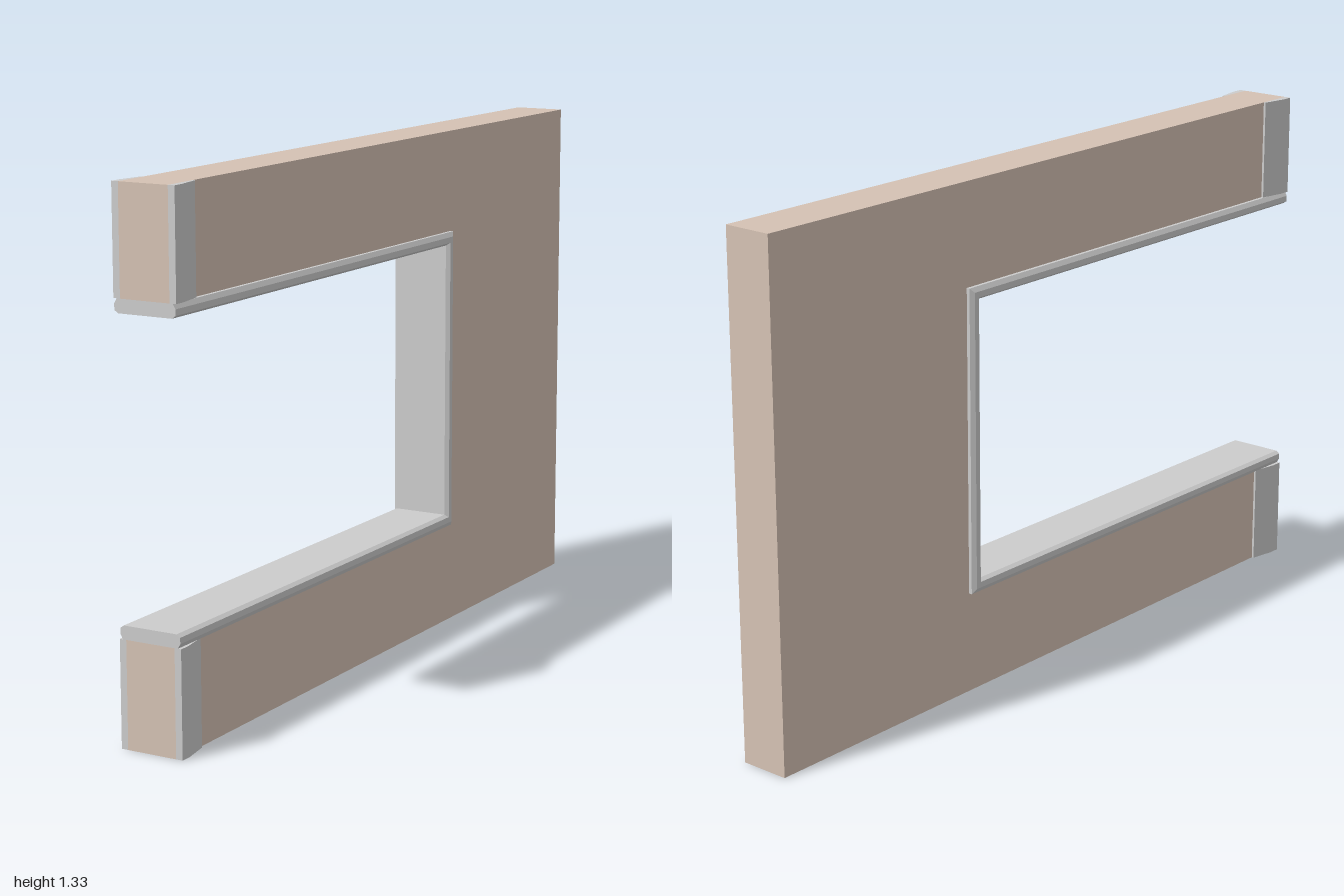
import * as THREE from 'three';

const H = 1.333, LOW = 0.267, HIGH = 1.067, BACK = -0.333, HALF = 0.067;

function polygon(points) {
  return new THREE.Shape(points.map(([a, b]) => new THREE.Vector2(a, b)));
}

// Closed trim profile [inward offset, x] swept round the opening with mitred corners
function trimGeometry(profile) {
  const stations = (d) => [
    [1, LOW + d], [BACK + d, LOW + d], [BACK + d, HIGH - d], [1, HIGH - d],
  ];
  const at = ([d, x], s) => {
    const [z, y] = stations(d)[s];
    return [x, y, z];
  };
  const pos = [];
  const n = profile.length;
  for (let s = 0; s < 3; s++) {
    for (let i = 0; i < n; i++) {
      const p = profile[i], q = profile[(i + 1) % n];
      const a = at(p, s), b = at(q, s), c = at(q, s + 1), d = at(p, s + 1);
      pos.push(...a, ...b, ...c, ...a, ...c, ...d);
    }
  }
  // End caps facing +z
  for (let i = 1; i < n - 1; i++) {
    const tri = [profile[0], profile[i], profile[i + 1]];
    pos.push(...tri.slice().reverse().flatMap((p) => at(p, 0)));
    pos.push(...tri.flatMap((p) => at(p, 3)));
  }
  const g = new THREE.BufferGeometry();
  g.setAttribute('position', new THREE.Float32BufferAttribute(pos, 3));
  g.computeVertexNormals();
  return g;
}

export function createModel() {
  const group = new THREE.Group();
  const plaster = new THREE.MeshStandardMaterial({ color: 0xd4c1b3 });
  const grey = new THREE.MeshStandardMaterial({ color: 0xcccccc, side: THREE.DoubleSide });
  const add = (name, geometry, material) => {
    const mesh = new THREE.Mesh(geometry, material);
    mesh.name = name;
    group.add(mesh);
    return mesh;
  };

  // C-shaped wall, drawn in (-z, y) and extruded across x
  const wall = new THREE.ExtrudeGeometry(polygon([
    [-1, 0], [1, 0], [1, H], [-1, H], [-1, HIGH], [-BACK, HIGH], [-BACK, LOW], [-1, LOW],
  ]), { depth: 2 * HALF, bevelEnabled: false });
  wall.translate(0, 0, -HALF).rotateY(Math.PI / 2);
  add('wall', wall, plaster);

  // Trim lining the opening
  const side = [[0, 0.076], [0.012, 0.083], [0.027, 0.083], [0.034, 0.073]];
  const mirrored = side.map(([d, x]) => [d, -x]).reverse();
  add('openingTrim', trimGeometry([...side, ...mirrored]), grey);

  // Flared end strips on both faces of each arm, drawn in (x, -z) and extruded up
  for (const [level, y0, y1] of [['lower', 0, LOW], ['upper', HIGH, H]]) {
    for (const s of [1, -1]) {
      const strip = new THREE.ExtrudeGeometry(polygon([
        [s * HALF, -1], [s * 0.085, -1], [s * 0.085, -0.97], [s * 0.073, -0.9], [s * HALF, -0.9],
      ]), { depth: y1 - y0, bevelEnabled: false });
      strip.rotateX(-Math.PI / 2).translate(0, y0, 0);
      add(level + (s > 0 ? 'Left' : 'Right') + 'EndStrip', strip, grey);
    }
  }
  return group;
}
